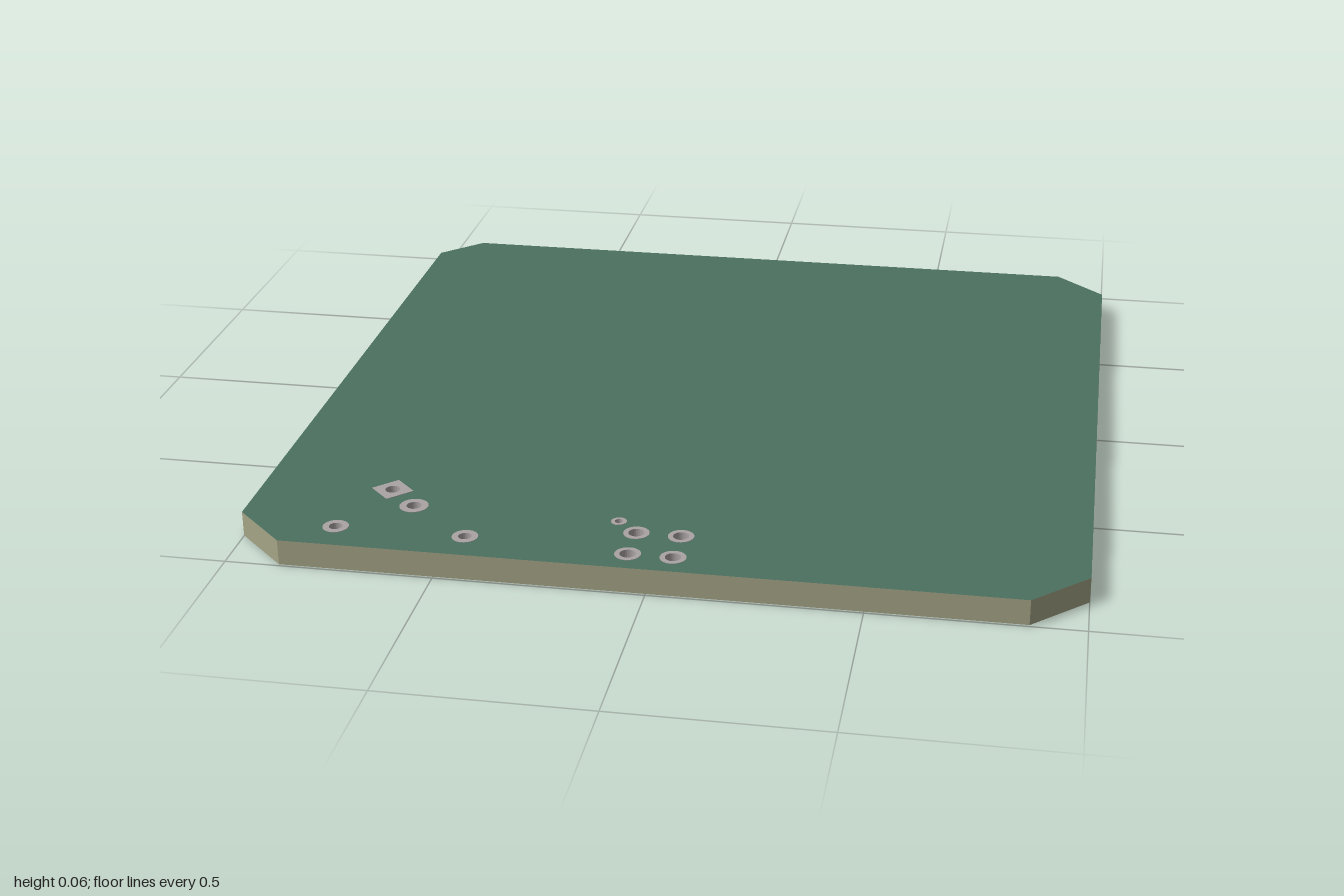
import * as THREE from 'three';

const HEIGHT = 0.065;
const LIFT = 0.001; // pads stand this far proud of the board

// Pads: x, z, outer radius, hole radius, number of sides, start angle
const PADS = [
  [-0.68, 0.697, 0.052, 0.018, 4],
  [-0.605, 0.772, 0.035, 0.018, 32],
  [-0.757, 0.905, 0.031, 0.016, 32],
  [-0.444, 0.905, 0.031, 0.016, 32],
  [-0.105, 0.772, 0.019, 0.010, 24],
  [-0.053, 0.823, 0.031, 0.019, 32],
  [0.053, 0.823, 0.031, 0.019, 32],
  [-0.053, 0.928, 0.031, 0.019, 32],
  [0.053, 0.928, 0.031, 0.019, 32],
];

// Regular polygon in plan; shape y is -z
function ring(x, z, r, sides) {
  return Array.from({ length: sides }, (_, i) => {
    const a = (i / sides) * Math.PI * 2;
    return new THREE.Vector2(x + r * Math.cos(a), -z + r * Math.sin(a));
  });
}

// Extrude a plan shape upwards from y0
function slab(shape, y0, depth) {
  return new THREE.ExtrudeGeometry(shape, { depth, bevelEnabled: false, curveSegments: 32 })
    .rotateX(-Math.PI / 2)
    .translate(0, y0, 0);
}

export function createModel() {
  const mask = new THREE.MeshStandardMaterial({ color: 0x4b7060 });
  mask.name = 'green mask';
  const core = new THREE.MeshStandardMaterial({ color: 0xa6a688 });
  core.name = 'tan core';
  const metal = new THREE.MeshStandardMaterial({ color: 0xaba3a3 });
  metal.name = 'pad metal';

  const model = new THREE.Group();
  model.name = 'circuitBoard';
  const add = (name, geometry, material) => {
    const mesh = new THREE.Mesh(geometry, material);
    mesh.name = name;
    model.add(mesh);
  };

  // Board with cut corners: green faces, tan edge
  const outline = [
    [-0.87, 0.995], [0.87, 0.995], [1, 0.87], [1, -0.87],
    [0.87, -0.995], [-0.895, -0.995], [-1, -0.89], [-1, 0.87],
  ].map(([x, z]) => new THREE.Vector2(x, -z));
  const board = new THREE.Shape(outline);
  for (const [x, z, r, , sides] of PADS) board.holes.push(new THREE.Path(ring(x, z, r, sides)));
  add('board', slab(board, LIFT, HEIGHT - 2 * LIFT), [mask, core]);

  // Plated pads running through the board
  for (const [x, z, r, hole, sides] of PADS) {
    const pad = new THREE.Shape(ring(x, z, r, sides));
    pad.holes.push(new THREE.Path(ring(x, z, hole, 24)));
    add('pad', slab(pad, 0, HEIGHT), metal);
  }

  // Raised round area under the square pad and its neighbour
  const area = new THREE.Shape(ring(-0.642, 0.735, 0.115, 48));
  for (const [x, z, r, , sides] of PADS.slice(0, 2)) area.holes.push(new THREE.Path(ring(x, z, r, sides)));
  add('undersideArea', slab(area, LIFT / 2, LIFT / 2), mask);

  // Covered tracks on the underside
  const tracks = [
    [-0.47, 0.885, -0.55, 0.80],
    [-0.735, 0.88, -0.70, 0.83],
    [-0.075, 0.80, -0.092, 0.785],
  ];
  for (const [x1, z1, x2, z2] of tracks) {
    const track = new THREE.BoxGeometry(Math.hypot(x2 - x1, z2 - z1), LIFT / 2, 0.014);
    track.rotateY(-Math.atan2(z2 - z1, x2 - x1));
    track.translate((x1 + x2) / 2, LIFT * 0.75, (z1 + z2) / 2);
    add('undersideTrack', track, mask);
  }
  return model;
}
